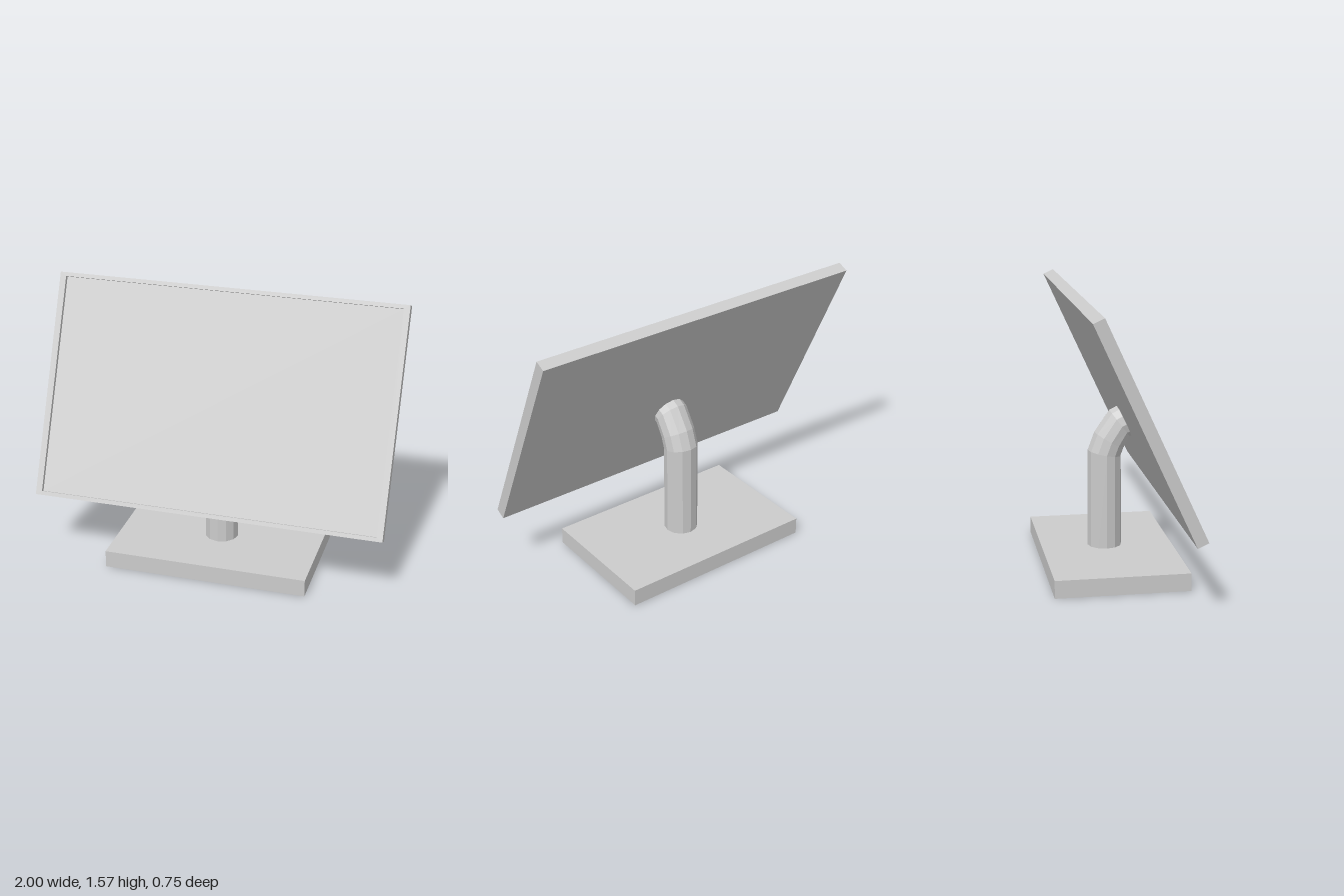
import * as THREE from 'three';

const material = new THREE.MeshStandardMaterial({ color: 0xcccccc, flatShading: true });

function addMesh(parent, name, geometry, x = 0, y = 0, z = 0) {
  const mesh = new THREE.Mesh(geometry, material);
  mesh.name = name;
  mesh.position.set(x, y, z);
  parent.add(mesh);
  return mesh;
}

// Faceted pipe: each ring is [centre y, centre z, forward lean in degrees]
function bentPipe(rings, radius, sides) {
  const spans = rings.length - 1;
  const geometry = new THREE.CylinderGeometry(1, 1, spans, sides, spans);
  const pos = geometry.attributes.position;
  for (let i = 0; i < pos.count; i++) {
    const [cy, cz, lean] = rings[Math.round(pos.getY(i) + spans / 2)];
    const a = THREE.MathUtils.degToRad(lean);
    const depth = pos.getZ(i) * radius;
    pos.setXYZ(i, pos.getX(i) * radius, cy - depth * Math.sin(a), cz + depth * Math.cos(a));
  }
  geometry.computeVertexNormals();
  return geometry;
}

function rectangle(path, w, h) {
  path.moveTo(-w / 2, -h / 2);
  path.lineTo(w / 2, -h / 2);
  path.lineTo(w / 2, h / 2);
  path.lineTo(-w / 2, h / 2);
  path.closePath();
  return path;
}

export function createModel() {
  const model = new THREE.Group();
  model.name = 'monitor';

  // Slab foot
  addMesh(model, 'base', new THREE.BoxGeometry(1.17, 0.1, 0.745), 0, 0.05, 0);

  // Column that bends forward into the back of the screen
  const rings = [
    [0.09, -0.01, 0],
    [0.643, -0.01, 11],
    [0.717, 0.017, 30],
    [0.81, 0.077, 53],
    [0.827, 0.113, 65.3],
  ];
  addMesh(model, 'stand', bentPipe(rings, 0.097, 12));

  // Tilted screen: back panel plus raised bezel around the recessed display
  const width = 2, height = 1.277, thickness = 0.065, recess = 0.023, inset = 0.965;
  const screen = new THREE.Group();
  screen.name = 'screen';
  screen.position.set(0, 0.973, 0.0685);
  screen.rotation.x = -THREE.MathUtils.degToRad(24.7);
  model.add(screen);

  const panelDepth = thickness - recess;
  addMesh(screen, 'displayPanel', new THREE.BoxGeometry(width, height, panelDepth), 0, 0, -recess / 2);

  const outline = rectangle(new THREE.Shape(), width, height);
  outline.holes.push(rectangle(new THREE.Path(), width * inset, height * inset));
  const bezel = new THREE.ExtrudeGeometry(outline, { depth: recess, bevelEnabled: false });
  addMesh(screen, 'bezel', bezel, 0, 0, thickness / 2 - recess);

  return model;
}
